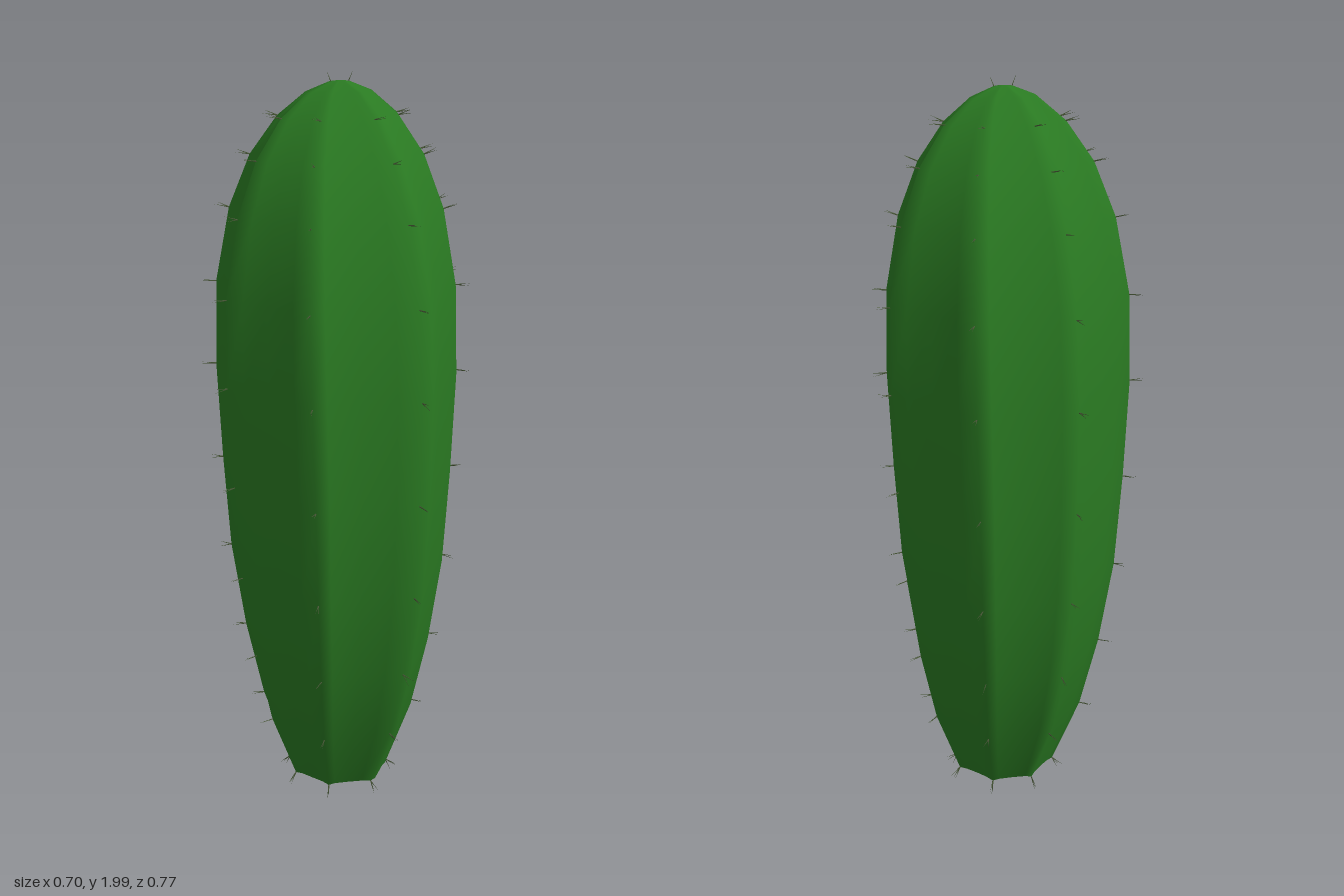
import * as THREE from 'three';

// Cross-section at full width, [x, z], running from the front round by +x
const SECTION = [
  [0, 0.327], [0.09, 0.33], [0.15, 0.342], [0.185, 0.31], [0.215, 0.25],
  [0.26, 0.155], [0.295, 0.1], [0.303, 0.06], [0.3, 0], [0.302, -0.085],
  [0.315, -0.125], [0.275, -0.155], [0.22, -0.215], [0.165, -0.285],
  [0.13, -0.347], [0.09, -0.333], [0, -0.33], [-0.09, -0.333],
  [-0.13, -0.347], [-0.165, -0.285], [-0.22, -0.215], [-0.275, -0.155],
  [-0.315, -0.125], [-0.302, -0.085], [-0.302, 0], [-0.302, 0.085],
  [-0.315, 0.125], [-0.275, 0.152], [-0.22, 0.22], [-0.165, 0.285],
  [-0.13, 0.345], [-0.09, 0.33],
];
const RIBS = [2, 7, 10, 14, 18, 22, 26, 30]; // section points on the rib crests

// Rings up the stem: [height, half width, half depth]
const RINGS = [
  [0.045, 0.135, 0.135], [0.24, 0.205, 0.227], [0.45, 0.25, 0.292],
  [0.69, 0.285, 0.333], [0.95, 0.302, 0.345], [1.22, 0.315, 0.331],
  [1.45, 0.311, 0.295], [1.65, 0.276, 0.23], [1.79, 0.223, 0.158],
  [1.89, 0.155, 0.088], [1.95, 0.085, 0.036], [1.975, 0.025, 0.013],
];

const ringPoint = ([y, w, d], k) =>
  new THREE.Vector3(SECTION[k][0] * w / 0.315, y, SECTION[k][1] * d / 0.345);

// Small seeded random numbers from -1 to 1
function seeded(seed) {
  return () => {
    seed = (seed * 16807) % 2147483647;
    return (seed / 2147483647) * 2 - 1;
  };
}

// Ribbed stem, open at the foot and closed at the crown
function stemGeometry() {
  const n = SECTION.length, pos = [], index = [];
  for (const ring of RINGS)
    for (let k = 0; k < n; k++) pos.push(...ringPoint(ring, k).toArray());
  for (let r = 0; r < RINGS.length - 1; r++)
    for (let k = 0; k < n; k++) {
      const a = r * n + k, b = r * n + (k + 1) % n;
      index.push(a, b, b + n, a, b + n, a + n);
    }
  const crown = pos.length / 3, last = crown - n;
  pos.push(0, 1.978, 0);
  for (let k = 0; k < n; k++) index.push(last + k, last + (k + 1) % n, crown);
  const g = new THREE.BufferGeometry();
  g.setAttribute('position', new THREE.Float32BufferAttribute(pos, 3));
  g.setIndex(index);
  g.computeVertexNormals();
  return g;
}

export function createModel() {
  const model = new THREE.Group();
  model.name = 'cactus';

  const green = new THREE.MeshStandardMaterial({ color: 0x2a7a22, side: THREE.DoubleSide });
  const stem = new THREE.Mesh(stemGeometry(), green);
  stem.name = 'stem';
  model.add(stem);

  // Pairs of thin spines on each rib crest at every ring
  const spines = new THREE.Group();
  spines.name = 'spines';
  model.add(spines);
  const spineMat = new THREE.MeshStandardMaterial({ color: 0x4a5a38 });
  const spineGeo = new THREE.ConeGeometry(0.0018, 0.042, 4);
  spineGeo.translate(0, 0.017, 0);
  const up = new THREE.Vector3(0, 1, 0);
  const rand = seeded(41);
  const addSpine = (at, dir) => {
    const spine = new THREE.Mesh(spineGeo, spineMat);
    spine.name = 'spine';
    spine.position.copy(at);
    spine.quaternion.setFromUnitVectors(up, dir.normalize());
    spines.add(spine);
  };
  RINGS.slice(0, -2).forEach((ring, r) => {
    const lean = r === 0 ? -0.7 : (RINGS[r - 1][1] - RINGS[r + 1][1]) * 2;
    for (const k of RIBS) {
      const p = ringPoint(ring, k);
      for (let s = 0; s < 2; s++) {
        const dir = new THREE.Vector3(p.x, 0, p.z).normalize();
        dir.add(new THREE.Vector3(rand() * 0.25, lean + rand() * 0.2, rand() * 0.25));
        addSpine(p, dir);
      }
    }
  });

  // Spines at the crown and pointing down from the foot
  for (const x of [-0.02, 0.02])
    addSpine(new THREE.Vector3(x, 1.968, 0), new THREE.Vector3(x * 20, 1, 0.1));
  for (const k of RIBS) {
    const p = ringPoint(RINGS[0], k);
    addSpine(p, new THREE.Vector3(p.x, -0.3, p.z));
  }
  return model;
}
